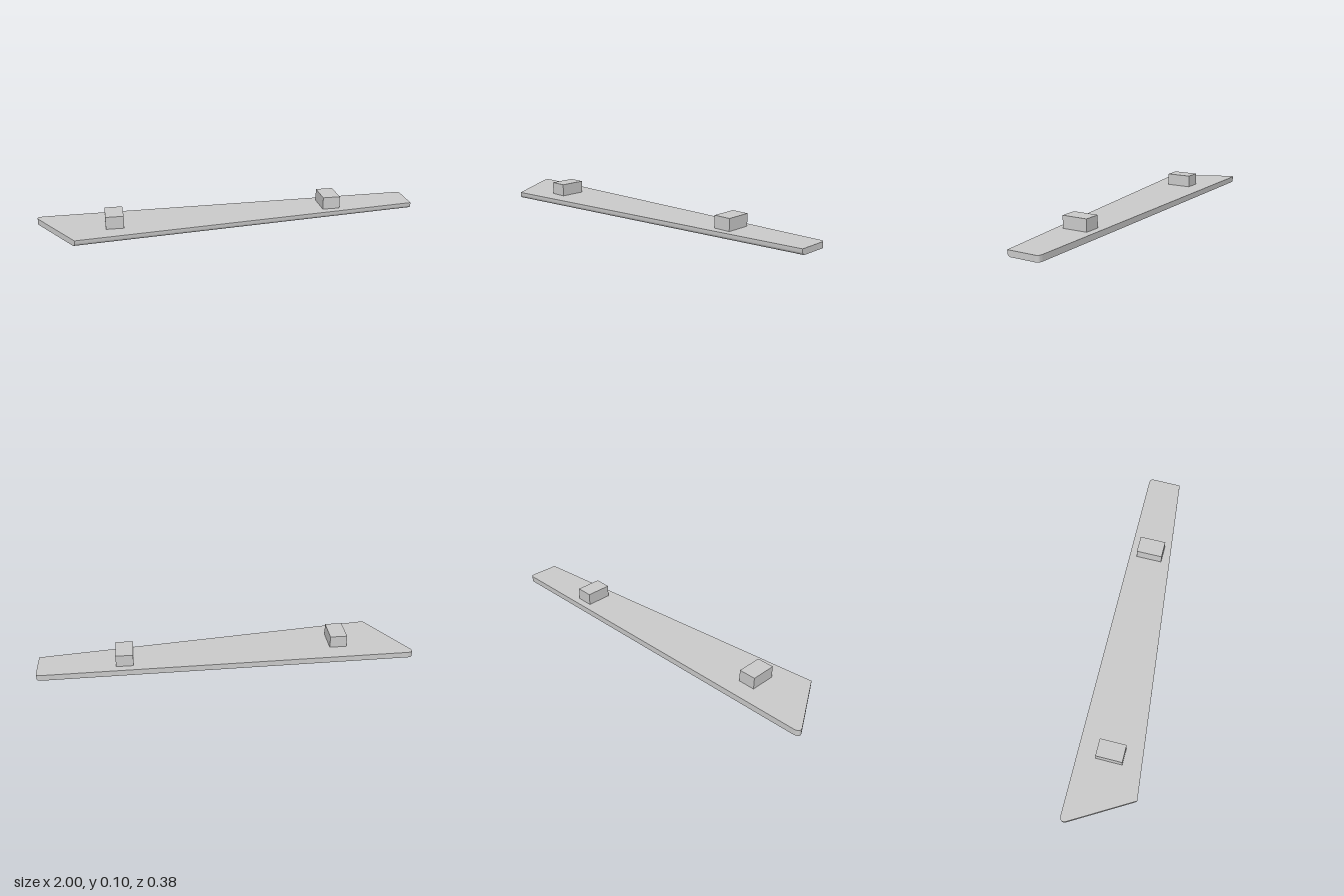
import * as THREE from 'three';
import { toCreasedNormals } from 'three/addons/utils/BufferGeometryUtils.js';

const THICKNESS = 0.032;
const ROUND = 0.02; // radius of the rounded lower front edge
const ARC_STEPS = 8;

// Tapered plate: outline extruded upwards, lower front edge rounded under
function plateGeometry() {
  const s = new THREE.Shape(); // drawn as (x, -z)
  s.moveTo(-0.85, -0.178);
  s.lineTo(0.98, -0.192);
  s.lineTo(0.9995, -0.04);
  s.quadraticCurveTo(1.005, -0.0165, 0.975, -0.0135);
  s.lineTo(-0.965, 0.191);
  s.quadraticCurveTo(-1.013, 0.196, -0.995, 0.155);
  s.closePath();

  const steps = ARC_STEPS + 1;
  const g = new THREE.ExtrudeGeometry(s, { depth: steps, steps, bevelEnabled: false, curveSegments: 10 });
  g.rotateX(-Math.PI / 2);

  // Set each layer's height and slide the front corners back along the side edges
  const p = g.attributes.position;
  const a0 = 0.3;
  for (let i = 0; i < p.count; i++) {
    const k = Math.round(p.getY(i));
    let y = THICKNESS, inset = 0;
    if (k <= ARC_STEPS) {
      const a = a0 + (Math.PI / 2 - a0) * (k / ARC_STEPS);
      y = ROUND * (1 - Math.cos(a) / Math.cos(a0));
      inset = ROUND * (1 - Math.sin(a));
    }
    p.setY(i, y);
    if (p.getZ(i) > 0.15) {
      p.setX(i, p.getX(i) + inset * (p.getX(i) < 0 ? -0.435 : 0.128));
      p.setZ(i, p.getZ(i) - inset);
    }
  }
  g.deleteAttribute('normal');
  g.computeVertexNormals();
  return toCreasedNormals(g, 0.3);
}

export function createModel() {
  const model = new THREE.Group();
  const material = new THREE.MeshStandardMaterial({ color: 0xcccccc });

  const plate = new THREE.Mesh(plateGeometry(), material);
  plate.name = 'plate';
  model.add(plate);

  // Two mounting blocks, turned to follow the slanted back edge
  const height = 0.065;
  const blockGeometry = new THREE.BoxGeometry(0.092, height, 0.14);
  for (const [name, x, z] of [['rightBlock', -0.627, 0.015], ['leftBlock', 0.533, 0.077]]) {
    const block = new THREE.Mesh(blockGeometry, material);
    block.name = name;
    block.position.set(x, THICKNESS + height / 2, z);
    block.rotation.y = -0.115;
    model.add(block);
  }
  return model;
}
